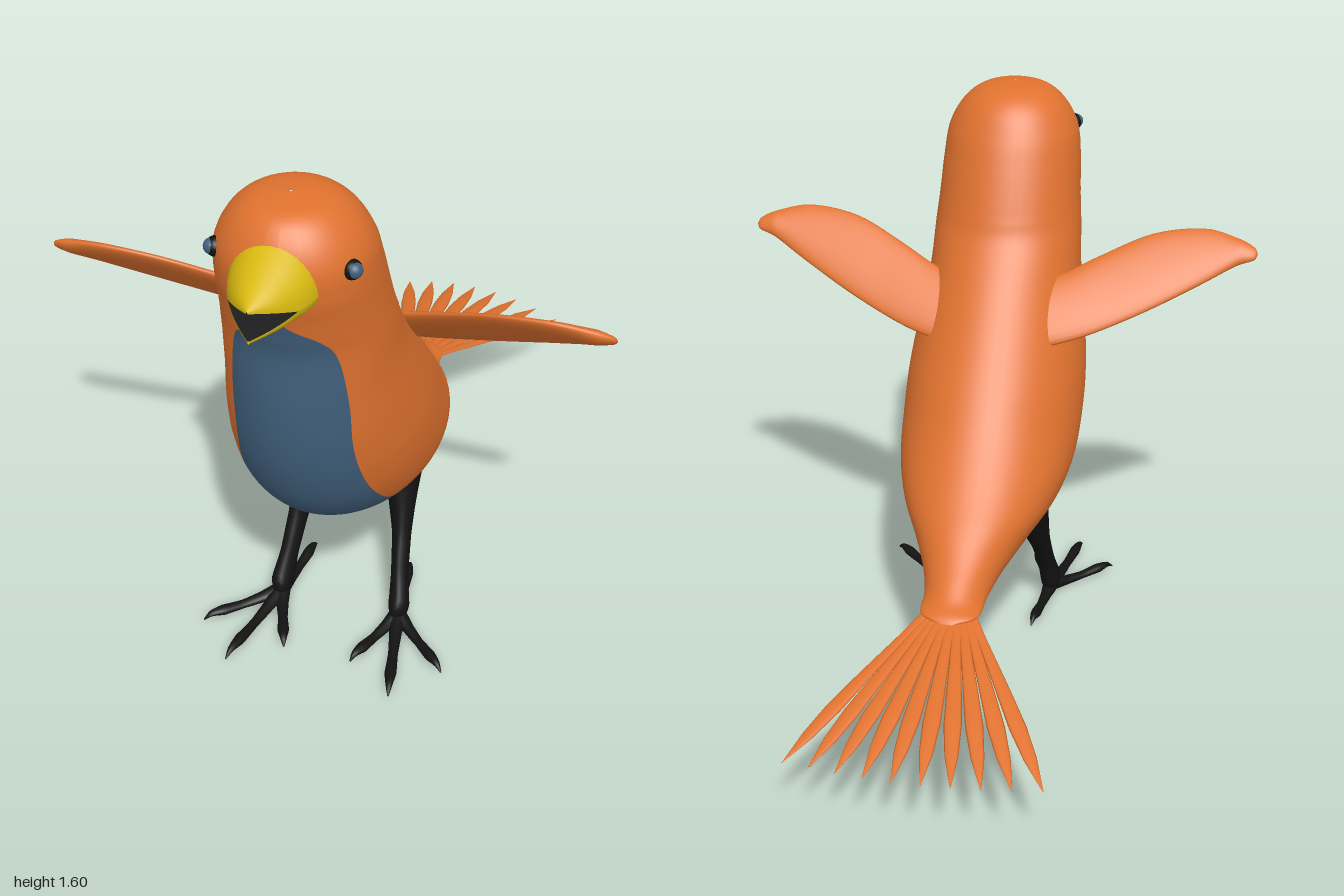
import * as THREE from 'three';

const V = (x, y, z) => new THREE.Vector3(x, y, z);
const paint = (name, color) => {
  const m = new THREE.MeshStandardMaterial({ color });
  m.name = name;
  return m;
};

// Skin closed rings of points; quads where isSecond(i, j) holds use material 1
function loft(rings, isSecond) {
  const n = rings[0].length, lists = [[], []];
  for (let i = 0; i < rings.length - 1; i++) {
    for (let j = 0; j < n; j++) {
      const a = i * n + j, b = i * n + (j + 1) % n, c = a + n, d = b + n;
      lists[isSecond && isSecond(i, j) ? 1 : 0].push(a, c, b, b, c, d);
    }
  }
  const g = new THREE.BufferGeometry().setFromPoints(rings.flat());
  g.setIndex([...lists[0], ...lists[1]]);
  if (isSecond) {
    g.addGroup(0, lists[0].length, 0);
    g.addGroup(lists[0].length, lists[1].length, 1);
  }
  g.computeVertexNormals();
  return g;
}

// Tapering tube along a smooth path; flat scales its upright radius
function taper(points, radii, flat = 1, steps = 20, sides = 12) {
  const curve = new THREE.CatmullRomCurve3(points, false, 'catmullrom');
  const rings = [];
  for (let i = 0; i <= steps; i++) {
    const t = i / steps, f = t * (radii.length - 1), k = Math.min(Math.floor(f), radii.length - 2);
    const r = THREE.MathUtils.lerp(radii[k], radii[k + 1], f - k);
    const p = curve.getPoint(t), T = curve.getTangent(t);
    const side = V(0, 1, 0).cross(T).normalize(), up = side.clone().cross(T);
    rings.push(Array.from({ length: sides }, (_, j) => {
      const q = j / sides * Math.PI * 2;
      return p.clone().addScaledVector(side, r * Math.cos(q)).addScaledVector(up, r * flat * Math.sin(q));
    }));
  }
  return loft(rings);
}

function mirrored(geometry) {
  const g = geometry.clone().scale(-1, 1, 1), ix = g.index.array;
  for (let i = 0; i < ix.length; i += 3) [ix[i + 1], ix[i + 2]] = [ix[i + 2], ix[i + 1]];
  g.computeVertexNormals();
  return g;
}

export function createModel() {
  const orange = paint('orange plumage', 0xe0722f);
  const blue = paint('slate blue', 0x41607c);
  const yellow = paint('beak yellow', 0xd9ba10);
  const black = paint('black', 0x121212);
  yellow.side = THREE.DoubleSide;
  const mouthBlack = black;
  mouthBlack.side = THREE.DoubleSide;

  const bird = new THREE.Group();
  bird.name = 'bird';
  const add = (name, geometry, material) => {
    const m = new THREE.Mesh(geometry, material);
    m.name = name;
    bird.add(m);
    return m;
  };
  const addPair = (name, geometry, material) => {
    add('left' + name, geometry, material);
    add('right' + name, mirrored(geometry), material);
  };

  // Body sections from crown to rump: front z, y, back z, y, half width, bib angle
  const sections = [
    [.69, 1.61, .685, 1.61, .003, .12], [.78, 1.595, .585, 1.597, .095, .12],
    [.83, 1.55, .52, 1.555, .155, .12], [.86, 1.48, .472, 1.48, .195, .12],
    [.86, 1.40, .435, 1.40, .207, .12], [.842, 1.33, .4, 1.315, .212, .12],
    [.827, 1.27, .378, 1.26, .216, .5], [.812, 1.2, .35, 1.2, .222, .66],
    [.81, 1.05, .27, 1.1, .23, .73], [.795, .9, .17, .98, .25, .68],
    [.76, .77, .06, .85, .267, .68], [.70, .65, -.03, .74, .27, .74],
    [.60, .54, -.14, .63, .26, .82], [.45, .45, -.22, .56, .225, 1.0],
    [.25, .39, -.29, .50, .165, 1.05], [0, .365, -.35, .455, .115, .9],
    [-.2, .362, -.40, .42, .09, .3], [-.38, .372, -.44, .402, .08, .12],
    [-.455, .384, -.46, .388, .02, .12],
  ];
  const spline = pts => new THREE.CatmullRomCurve3(pts, false, 'catmullrom');
  const front = spline(sections.map(s => V(s[4], s[1], s[0])));
  const back = spline(sections.map(s => V(s[5], s[3], s[2])));
  const per = 6, rows = (sections.length - 1) * per, bibCols = 24, backCols = 40;
  const rings = [];
  for (let i = 0; i <= rows; i++) {
    const f = front.getPoint(i / rows), k = back.getPoint(i / rows), bib = k.x;
    const ring = [];
    for (let j = 0; j < bibCols + backCols; j++) {
      const q = j <= bibCols ? bib * (2 * j / bibCols - 1)
        : bib + (2 * Math.PI - 2 * bib) * (j - bibCols) / backCols;
      const c = (1 + Math.cos(q)) / 2;
      ring.push(V(f.x * Math.sin(q), k.y + (f.y - k.y) * c, k.z + (f.z - k.z) * c));
    }
    rings.push(ring);
  }
  const isBib = (i, j) => j < bibCols && i >= 5 * per && i < 16 * per;
  add('body', loft(rings, isBib), [orange, blue]);

  // Wings: x, upper edge y, lower edge y; the blade leans forward as it rises
  const wing = spline([
    V(.1, 1.08, .92), V(.2, 1.11, .94), V(.3, 1.155, .97), V(.45, 1.215, 1.03),
    V(.6, 1.235, 1.1), V(.7, 1.217, 1.15), V(.75, 1.198, 1.166), V(.762, 1.183, 1.179),
  ]);
  const wingRings = [];
  for (let i = 0; i <= 42; i++) {
    const w = wing.getPoint(i / 42), cy = (w.y + w.z) / 2, h = (w.y - w.z) / 2;
    const th = Math.min(.018 + .02 * Math.max(0, .35 - w.x), Math.abs(h) * .6);
    wingRings.push(Array.from({ length: 24 }, (_, j) => {
      const q = j / 24 * Math.PI * 2, u = h * Math.cos(q), v = th * Math.sin(q);
      return V(w.x, cy + u + .66 * v, .26 + .88 * (cy - .95) + .88 * u - .75 * v);
    }));
  }
  addPair('Wing', loft(wingRings), orange);

  // Beak halves: arched yellow shell with a dark inner face
  const mandible = (name, baseY, tipY, opening) => {
    const shell = [], inner = [], index = [], flatIndex = [], N = 16, R = 16;
    for (let i = 0; i <= R; i++) {
      const s = i / R, w = .112 * (1 - s * s) + .002, z = .8 + .2 * s;
      const edge = 1.425 + opening * Math.max(0, (s - .5) / .5);
      const h = THREE.MathUtils.lerp(baseY, tipY, s) - edge;
      for (let j = 0; j <= N; j++) {
        const q = j / N * Math.PI;
        shell.push(V(w * Math.cos(q), edge + h * Math.sin(q), z));
        if (i < R && j < N) {
          const a = i * (N + 1) + j, c = a + N + 1;
          if (h > 0) index.push(a, c, a + 1, a + 1, c, c + 1);
          else index.push(a, a + 1, c, a + 1, c + 1, c);
        }
      }
      inner.push(V(w, edge, z), V(-w, edge, z));
      if (i < R) {
        const a = 2 * i;
        if (h > 0) flatIndex.push(a, a + 1, a + 2, a + 1, a + 3, a + 2);
        else flatIndex.push(a, a + 2, a + 1, a + 1, a + 2, a + 3);
      }
    }
    const make = (pts, ix) => {
      const g = new THREE.BufferGeometry().setFromPoints(pts);
      g.setIndex(ix);
      g.computeVertexNormals();
      return g;
    };
    add(name, make(shell, index), yellow);
    add(name + 'Lining', make(inner, flatIndex), mouthBlack);
  };
  mandible('upperBeak', 1.56, 1.472, .042);
  mandible('lowerBeak', 1.36, 1.382, -.034);

  // Eyes: slate ball in a dark rim
  for (const s of [1, -1]) {
    const side = s > 0 ? 'left' : 'right';
    add(side + 'EyeRim', new THREE.SphereGeometry(.026, 20, 14), black).position.set(s * .17, 1.467, .757);
    add(side + 'Eye', new THREE.SphereGeometry(.021, 20, 14), blue).position.set(s * .178, 1.469, .762);
  }

  // Legs and toes
  addPair('Leg', taper([
    V(.14, .42, .205), V(.145, .345, .24), V(.158, .25, .29),
    V(.17, .14, .35), V(.18, .06, .39), V(.18, .022, .41),
  ], [.052, .042, .028, .025, .031, .02], 1.35, 24, 16), black);
  const toes = [['OuterToe', .36, .575], ['MiddleToe', .243, .705], ['InnerToe', .1, .61], ['HindToe', .15, .165]];
  for (const [name, x, z] of toes) {
    const at = (s, y) => V(.18 + (x - .18) * s, y, .4 + (z - .4) * s);
    addPair(name, taper([at(0, .03), at(.25, .024), at(.5, .022), at(.75, .026), at(.9, .028), at(1, .014)],
      [.026, .018, .014, .017, .01, .002], .8, 20, 10), black);
  }

  // Fanned tail feathers
  for (let i = 0; i < 10; i++) {
    const u = (i - 4.5) / 4.5;
    const root = V(.06 * u, .386, -.39), tip = V(.343 * u, .25 - .03 * u * u, -1 + .07 * u * u);
    const mid = root.clone().lerp(tip, .5);
    mid.y += .004;
    add('tailFeather' + (i + 1), taper([root, mid, tip], [.012, .013, .017, .021, .024, .018, .001], .28, 18, 10), orange);
  }

  // The bird is turned slightly to its left
  bird.rotation.y = .045;
  bird.position.x = -.025;
  const model = new THREE.Group();
  model.name = 'songbird';
  model.add(bird);
  return model;
}
